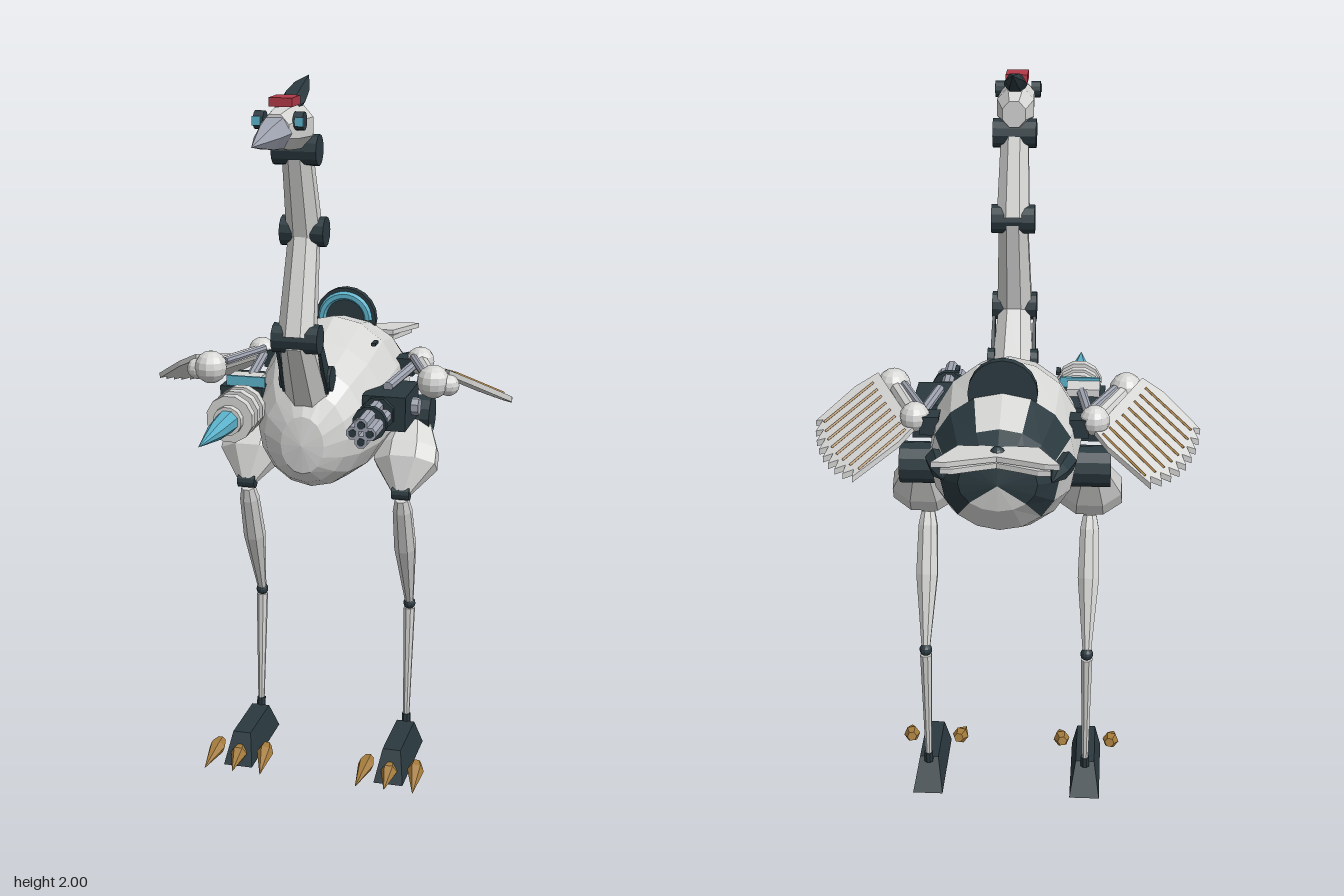
import * as THREE from 'three';

const M = (name, color) => Object.assign(new THREE.MeshStandardMaterial({ color }), { name });
const V = (x, y, z) => new THREE.Vector3(x, y, z);

export function createModel() {
  const root = new THREE.Group();
  root.name = 'mechanicalCrane';
  const white = M('shell white', 0xd6d7d5), dark = M('dark slate', 0x2b3a40), cyan = M('cyan', 0x5cb3cc);
  const gold = M('gold', 0xa67c3c), red = M('red', 0xb23a48), steel = M('steel', 0xa0a5b2);

  // Faceted mesh
  function add(name, geo, mat, pos) {
    const g = geo.index ? geo.toNonIndexed() : geo;
    g.computeVertexNormals();
    const m = new THREE.Mesh(g, mat);
    m.name = name;
    if (pos) m.position.copy(pos);
    root.add(m);
    return m;
  }
  const box = (name, mat, w, h, d, x, y, z) => add(name, new THREE.BoxGeometry(w, h, d), mat, V(x, y, z));
  const ball = (name, mat, r, p) => add(name, new THREE.SphereGeometry(r, 12, 8), mat, p);
  const disc = (name, mat, r, w, p) => add(name, new THREE.CylinderGeometry(r, r, w, 12).rotateZ(Math.PI / 2), mat, p);
  // Turned solid from a to b; profile holds [fraction, radius]
  function limb(name, mat, a, b, profile, sides = 8, sx = 1, sz = 1) {
    const len = a.distanceTo(b);
    const pts = [[profile[0][0], 0], ...profile, [profile.at(-1)[0], 0]].map(([t, r]) => new THREE.Vector2(r, t * len));
    const g = new THREE.LatheGeometry(pts, sides, Math.PI / sides).scale(sx, 1, sz);
    g.applyQuaternion(new THREE.Quaternion().setFromUnitVectors(V(0, 1, 0), b.clone().sub(a).normalize()));
    return add(name, g, mat, a);
  }
  const rod = (name, mat, a, b, r, sides = 8) => limb(name, mat, a, b, [[0, r], [1, r]], sides);

  // Egg-shaped body: z, centre height, half width, half height
  const rows = [[0.185, 1.03, 0, 0], [0.175, 1.03, 0.06, 0.08], [0.14, 1.045, 0.115, 0.13], [0.08, 1.055, 0.15, 0.17],
    [-0.03, 1.07, 0.185, 0.2], [-0.17, 1.088, 0.2, 0.222], [-0.33, 1.085, 0.19, 0.19],
    [-0.46, 1.09, 0.15, 0.138], [-0.53, 1.11, 0.1, 0.075], [-0.545, 1.11, 0, 0]];
  const N = 16;
  const at = (i, j) => {
    const [z, cy, rx, ry] = rows[i], a = (j / N) * Math.PI * 2;
    return [Math.cos(a) * rx, cy + Math.sin(a) * ry, z];
  };
  const cells = { white: [], dark: [] };
  for (let i = 0; i < rows.length - 1; i++) for (let j = 0; j < N; j++) {
    const up = Math.sin(((j + 0.5) / N) * Math.PI * 2);
    const isDark = (i >= 6 && up > 0.4 && up < 0.9) || (i >= 7 && up > -0.6);
    const a = at(i, j), b = at(i, j + 1), c = at(i + 1, j + 1), d = at(i + 1, j);
    cells[isDark ? 'dark' : 'white'].push(...a, ...c, ...b, ...a, ...d, ...c);
  }
  for (const [key, name, mat] of [['white', 'bodyShell', white], ['dark', 'rearArmour', dark]]) {
    const g = new THREE.BufferGeometry();
    g.setAttribute('position', new THREE.Float32BufferAttribute(cells[key], 3));
    add(name, g, mat);
  }

  // Dorsal arch
  add('dorsalArch', new THREE.CylinderGeometry(0.09, 0.09, 0.025, 20).rotateX(Math.PI / 2), dark, V(0, 1.272, -0.318));
  add('dorsalGlow', new THREE.TorusGeometry(0.068, 0.012, 6, 16, Math.PI), cyan, V(0, 1.272, -0.303));

  // Neck
  const n = [V(0, 1.15, 0.1), V(0, 1.335, 0.22), V(0, 1.605, 0.145), V(0, 1.825, 0.215)];
  limb('neckBase', white, n[0], n[1], [[0, 0.065], [1, 0.047]], 8, 1, 1);
  limb('neckMiddle', white, n[1], n[2], [[0, 0.052], [1, 0.042]]);
  limb('neckUpper', white, n[2], n[3], [[0, 0.048], [1, 0.04]]);
  for (let i = 1; i < 4; i++) disc('neckJoint', dark, 0.04, i === 1 ? 0.124 : 0.118, n[i]);
  for (const s of [-1, 1]) {
    limb('neckSidePlate', dark, V(s * 0.057, 1.18, 0.12), V(s * 0.057, 1.33, 0.215), [[0, 0.035], [1, 0.02]], 4, 0.25, 1);
    disc('neckRootCap', dark, 0.035, 0.02, V(s * 0.06, 1.205, 0.12));
  }

  // Head
  limb('skull', white, V(0, 1.885, 0.17), V(0, 1.895, 0.42), [[0, 0.04], [0.3, 0.064], [0.75, 0.058], [1, 0.045]], 8, 0.85, 0.95);
  limb('beak', steel, V(0, 1.89, 0.415), V(0, 1.88, 0.613), [[0, 0.043], [0.35, 0.033], [1, 0.001]], 6);
  limb('crest', dark, V(0, 1.938, 0.29), V(0, 2, 0.1), [[0, 0.025], [0.2, 0.036], [0.55, 0.028], [1, 0.001]], 6, 0.9, 0.8);
  box('crownLamp', red, 0.06, 0.022, 0.078, 0, 1.958, 0.33);
  for (const s of [-1, 1]) {
    disc('eyeSocket', dark, 0.023, 0.025, V(s * 0.05, 1.915, 0.372));
    box('eyeGlow', cyan, 0.022, 0.022, 0.008, s * 0.054, 1.915, 0.393);
  }

  // Wing surface height, sloping down outward and rearward
  const wingY = (x, z) => 1.17 - 0.332 * (Math.abs(x) - 0.27) + 0.358 * (z + 0.2);
  const tips = new THREE.QuadraticBezierCurve(new THREE.Vector2(0.382, -0.407), new THREE.Vector2(0.5, -0.32), new THREE.Vector2(0.515, -0.145));
  const rootA = new THREE.Vector2(0.235, -0.28), rootB = new THREE.Vector2(0.36, -0.02);

  for (const s of [-1, 1]) {
    // Feather fan with a jagged trailing edge
    const edge = [rootA, new THREE.Vector2(0.27, -0.325)];
    for (let i = 0; i <= 8; i++) {
      edge.push(tips.getPoint(i / 8));
      if (i < 8) edge.push(tips.getPoint((i + 0.6) / 8).lerp(rootA.clone().lerp(rootB, i / 8), 0.11));
    }
    edge.push(new THREE.Vector2(0.42, -0.05), rootB);
    const fan = new THREE.ExtrudeGeometry(new THREE.Shape(edge.map(p => new THREE.Vector2(s * p.x, -p.y))), { depth: 0.016, bevelEnabled: false });
    fan.rotateX(-Math.PI / 2);
    const p = fan.attributes.position;
    for (let i = 0; i < p.count; i++) p.setY(i, p.getY(i) - 0.008 + wingY(p.getX(i), p.getZ(i)));
    add('featherFan', fan, white);
    for (let i = 0; i < 8; i++) {
      const r = rootA.clone().lerp(rootB, (i + 0.3) / 8), t = tips.getPoint((i + 0.15) / 8);
      const on = q => V(s * q.x, wingY(q.x, q.y) + 0.009, q.y);
      rod('featherSpine', gold, on(r.clone().lerp(t, 0.12)), on(r.clone().lerp(t, 0.87)), 0.004, 4);
    }
    // Wing arm
    const shoulder = V(s * 0.235, 1.175, -0.25), wrist = V(s * 0.317, 1.178, -0.02);
    ball('wingShoulder', white, 0.04, shoulder);
    ball('wingWrist', white, 0.046, wrist);
    ball('wingKnuckle', white, 0.03, V(s * 0.358, 1.17, -0.025));
    rod('wingArm', white, shoulder, wrist, 0.02);
    rod('wingPiston', steel, V(s * 0.22, 1.19, -0.22), V(s * 0.285, 1.19, -0.05), 0.011);
    rod('wingStrut', steel, V(s * 0.225, 1.17, -0.24), V(s * 0.195, 1.16, 0), 0.014);
    box('wingPivot', dark, 0.05, 0.05, 0.06, s * 0.195, 1.16, -0.25);

    // Leg
    const x = s * 0.225;
    const hip = V(x, 1.03, -0.21), knee = V(x, 0.84, -0.055), ankle = V(x, 0.455, -0.195);
    disc('hipJoint', dark, 0.056, 0.11, hip);
    limb('thigh', white, hip, knee, [[0.08, 0.052], [0.45, 0.088], [0.65, 0.09], [1, 0.028]], 8, 1.05, 0.78);
    disc('kneeJoint', dark, 0.02, 0.05, knee);
    limb('shin', white, V(x, 0.82, -0.062), ankle, [[0, 0.02], [0.1, 0.028], [0.45, 0.032], [1, 0.012]], 8);
    ball('ankleJoint', dark, 0.018, ankle);
    limb('lowerShin', white, V(x, 0.44, -0.195), V(x, 0.08, -0.172), [[0, 0.017], [0.5, 0.013], [1, 0.009]], 8);
    rod('footCollar', dark, V(x, 0.08, -0.172), V(x, 0.11, -0.174), 0.013);

    // Foot and claws
    const foot = new THREE.BoxGeometry(0.085, 0.088, 1);
    const f = foot.attributes.position;
    for (let i = 0; i < f.count; i++) {
      const top = f.getY(i) > 0, front = f.getZ(i) > 0;
      f.setZ(i, front ? (top ? 0.03 : 0.075) : (top ? -0.165 : -0.22));
      if (top) f.setX(i, f.getX(i) * 0.62);
    }
    add('foot', foot, dark, V(x, 0.044, 0));
    for (const k of [-1, 0, 1]) {
      limb('claw', gold, V(x + k * 0.07, 0.045, k ? 0.01 : 0.04), V(x + k * 0.083, 0.012, 0.13), [[0, 0.014], [0.25, 0.024], [1, 0.001]], 6);
    }

    // Tail feathers, stacked in two layers
    for (const [k, y] of [[1, 1.185], [0.86, 1.168]]) {
      const tail = new THREE.Shape([[0, 0.5], [0.1, 0.5], [0.157 * k, 0.612], [0.12 * k, 0.612], [0.06 * k, 0.59], [0, 0.57]].map(q => new THREE.Vector2(s * q[0], q[1])));
      add('tailFeather', new THREE.ExtrudeGeometry(tail, { depth: 0.014, bevelEnabled: false }).rotateX(-Math.PI / 2), white, V(0, y, 0));
    }
    limb('rearFin', dark, V(s * 0.165, 1.12, -0.4), V(s * 0.135, 1.12, -0.535), [[0, 0.03], [0.5, 0.025], [1, 0.002]], 6);
    // Flank vents
    box('flankVent', dark, 0.012, 0.008, 0.04, s * 0.135, 1.255, -0.1);
    // Weapon mount
    box('weaponMount', dark, 0.12, 0.095, 0.18, s * 0.2, 1.105, -0.015);
    rod('mountPin', steel, V(s * 0.1, 1.105, -0.02), V(s * 0.28, 1.105, -0.02), 0.025);
  }
  ball('tailHub', dark, 0.02, V(0, 1.19, -0.53));

  // Lance on the right side
  const L = z => V(-0.185, 1.105, z);
  box('lanceCover', white, 0.09, 0.025, 0.07, -0.2, 1.16, 0.02);
  box('lanceCoverGlow', cyan, 0.11, 0.03, 0.009, -0.19, 1.165, 0.061);
  rod('lanceCore', cyan, L(0.05), L(0.25), 0.038);
  for (const z of [0.122, 0.168, 0.22]) rod('lanceRing', white, L(z - 0.013), L(z + 0.013), 0.065, 12);
  rod('lanceCollar', white, L(0.228), L(0.255), 0.04, 12);
  limb('lanceTip', cyan, L(0.25), L(0.49), [[0, 0.032], [0.4, 0.025], [1, 0.001]]);

  // Barrel cluster on the left side
  const G = (z, a, r) => V(0.185 + Math.cos(a) * r, 1.105 + Math.sin(a) * r, z);
  rod('gunHousing', dark, G(0.04, 0, 0), G(0.09, 0, 0), 0.048, 8);
  for (let i = 0; i < 4; i++) {
    const a = (i * Math.PI) / 2;
    rod('gunBarrel', steel, G(0.07, a, 0.023), G(0.275, a, 0.023), 0.018);
    rod('barrelBore', dark, G(0.274, a, 0.023), G(0.277, a, 0.023), 0.011);
  }
  rod('barrelBand', dark, G(0.163, 0, 0), G(0.182, 0, 0), 0.047, 12);
  return root;
}
